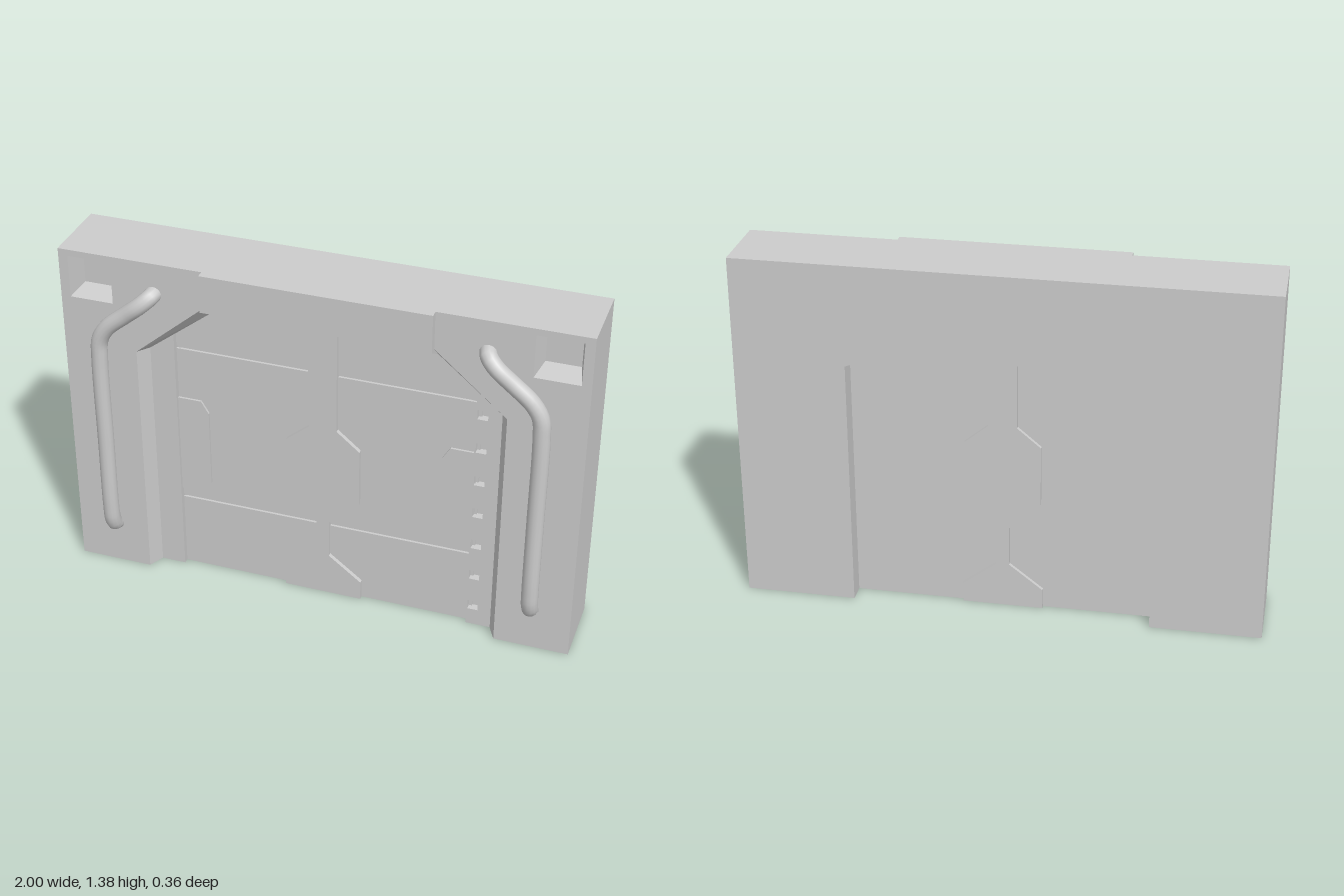
import * as THREE from 'three';

const mat = new THREE.MeshStandardMaterial({ color: 0xcccccc, flatShading: true });
const thin = new THREE.MeshStandardMaterial({ color: 0xcccccc, flatShading: true, side: THREE.DoubleSide });
const smooth = new THREE.MeshStandardMaterial({ color: 0xcccccc });

const poly = (pts, s = 1) => new THREE.Shape(pts.map(([x, y]) => new THREE.Vector2(x * s, y)));
const mirrored = (half) => [...half, ...half.slice().reverse().map(([x, y]) => [-x, y])];
const squareHole = (x, y, h) => poly([[x - h, y - h], [x - h, y + h], [x + h, y + h], [x + h, y - h]]);

export function createModel() {
  const model = new THREE.Group();
  const add = (name, geo, material = mat) => {
    const mesh = new THREE.Mesh(geo, material);
    mesh.name = name;
    model.add(mesh);
    return mesh;
  };
  // Prism of a front outline between two depths
  const slab = (name, shape, z0, z1) =>
    add(name, new THREE.ExtrudeGeometry(shape, { depth: z1 - z0, bevelEnabled: false }).translate(0, 0, z0));

  const H = 1.385, MID = 0.02, FRONT = 0.11, STRIP = 0.05;

  // Rear of the surrounding wall, with the narrower doorway
  const doorway = [[0.575, 0], [0.575, 0.99], [0.435, 1.045]];
  slab('wallRear', poly([[-1, 0], [-1, H], [1, H], [1, 0], ...mirrored(doorway)]), -0.18, MID);

  // Door body, surface plates with seams between them, and central lock piece
  slab('doorBody', poly(mirrored(doorway)), -0.105, MID - 0.002);
  slab('doorPlateLower', poly(mirrored([[0.6, 0], [0.6, 0.314]])), 0.01, 0.028);
  slab('doorPlateMiddle', poly(mirrored([[0.6, 0.326], [0.6, 0.994]])), 0.01, 0.028);
  slab('doorPlateUpper', poly(mirrored([[0.6, 1.006], [0.6, 1.055], [0.435, 1.18]])), 0.01, 0.028);
  slab('lockPiece', poly(mirrored([[0.155, 0], [0.155, 0.08], [0.025, 0.18], [0.025, 0.34],
    [0.145, 0.45], [0.145, 0.69], [0.055, 0.765], [0.055, 1.18]])), -0.12, 0.045);

  // Header: bevelled profile run across the top
  const profile = poly([[-MID, H], [-0.14, H], [-0.14, 1.235], [-STRIP, 1.18], [-MID, 1.18]]);
  add('header', new THREE.ExtrudeGeometry(profile, { depth: 0.87, bevelEnabled: false })
    .rotateY(Math.PI / 2).translate(-0.435, 0, 0));

  for (const s of [1, -1]) {
    const side = s > 0 ? 'left' : 'right';

    // Front of the wall with a square socket in the upper corner
    const front = poly([[1, 0], [1, H], [0.435, H], [0.435, 1.235], [0.71, 1], [0.71, 0]], s);
    front.holes.push(squareHole(s * 0.878, 1.275, 0.085));
    slab(side + 'WallFront', front, MID, FRONT);
    const socket = new THREE.CylinderGeometry(0.085 * Math.SQRT2, 0.065 * Math.SQRT2, FRONT - MID, 4, 1, true)
      .rotateY(Math.PI / 4).rotateX(Math.PI / 2).translate(s * 0.878, 1.275, (FRONT + MID) / 2);
    add(side + 'Socket', socket, thin);

    // Sloped reveal around the doorway
    const outer = [[0.71, 0], [0.71, 1], [0.435, 1.235]];
    const inner = [[0.68, 0], [0.68, 0.99], [0.435, 1.18]];
    const rows = [[outer, FRONT], [inner, STRIP], [inner, MID]];
    const v = [];
    const put = (r, i) => v.push(rows[r][0][i][0] * s, rows[r][0][i][1], rows[r][1]);
    for (let r = 0; r < 2; r++) for (let i = 0; i < 2; i++) {
      put(r, i); put(r + 1, i); put(r + 1, i + 1);
      put(r, i); put(r + 1, i + 1); put(r, i + 1);
    }
    v.push(0.71 * s, 0, FRONT, 0.68 * s, 0, STRIP, 0.71 * s, 0, STRIP); // foot of the reveal
    const reveal = new THREE.BufferGeometry();
    reveal.setAttribute('position', new THREE.Float32BufferAttribute(v, 3));
    reveal.computeVertexNormals();
    add(side + 'Reveal', reveal, thin);

    // Guide strip with a column of small square pockets
    const strip = poly([[0.71, 0], [0.71, 0.98], [0.68, 0.99], [0.583, 1.065], [0.583, 0]], s);
    for (let i = 0; i < 7; i++) strip.holes.push(squareHole(s * 0.608, 0.09 + i * 0.1445, 0.02));
    slab(side + 'GuideStrip', strip, MID, STRIP);

    // Thin side panel on the door
    slab(side + 'DoorPanel', poly([[0.59, 0.36], [0.49, 0.36], [0.46, 0.41], [0.46, 0.73],
      [0.49, 0.78], [0.59, 0.78]], s), MID, 0.037);

    // Bent grab handle
    const path = new THREE.CatmullRomCurve3([
      [0.625, 1.262, 0.085], [0.635, 1.253, 0.125], [0.67, 1.222, 0.146], [0.73, 1.172, 0.147],
      [0.805, 1.107, 0.147], [0.838, 1.05, 0.147], [0.845, 0.97, 0.147], [0.845, 0.6, 0.147],
      [0.845, 0.3, 0.147], [0.845, 0.225, 0.14], [0.845, 0.19, 0.12], [0.845, 0.182, 0.085],
    ].map(([x, y, z]) => new THREE.Vector3(x * s, y, z)));
    add(side + 'Handle', new THREE.TubeGeometry(path, 60, 0.032, 14), smooth);
  }
  return model;
}
